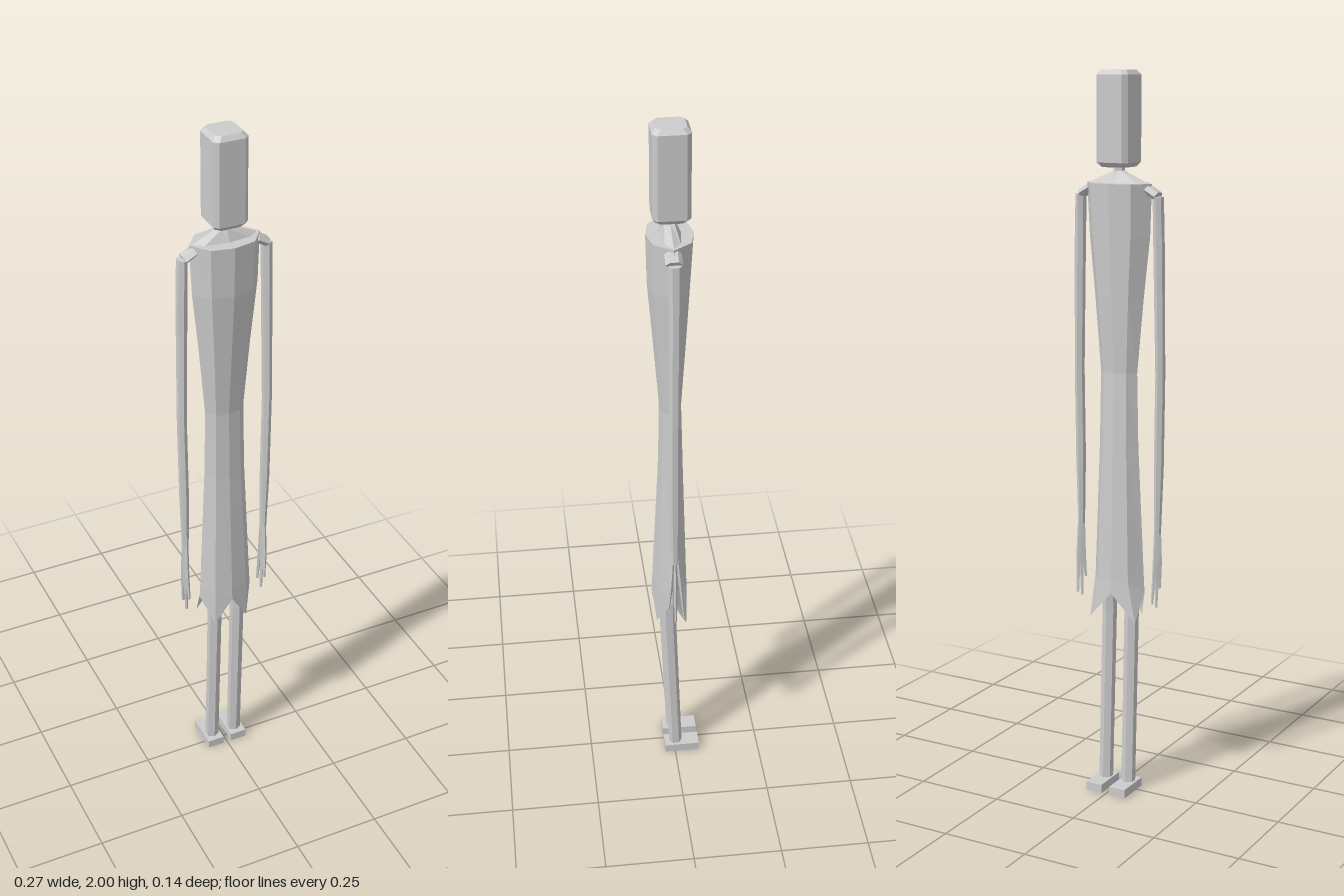
import * as THREE from 'three';

const stone = new THREE.MeshStandardMaterial({ color: 0xcccccc, flatShading: true, side: THREE.DoubleSide });
stone.name = 'pale grey';

// Skin through rings listed from top to bottom; each ring is an array of [x, y, z].
function skin(rings, capTop = true, capBottom = true) {
  const v = [];
  const n = rings[0].length;
  for (let r = 0; r < rings.length - 1; r++) {
    for (let i = 0; i < n; i++) {
      const j = (i + 1) % n;
      const a = rings[r][i], b = rings[r + 1][i], c = rings[r + 1][j], d = rings[r][j];
      v.push(...a, ...b, ...c, ...a, ...c, ...d);
    }
  }
  const top = rings[0], low = rings[rings.length - 1];
  for (let i = 1; i < n - 1; i++) {
    if (capTop) v.push(...top[0], ...top[i], ...top[i + 1]);
    if (capBottom) v.push(...low[0], ...low[i + 1], ...low[i]);
  }
  const g = new THREE.BufferGeometry();
  g.setAttribute('position', new THREE.Float32BufferAttribute(v, 3));
  g.computeVertexNormals();
  return g;
}

// Elliptical ring with n sides
function ring(x, y, z, rx, rz, n = 6, turn = 0) {
  return Array.from({ length: n }, (_, i) => {
    const a = turn + (i / n) * Math.PI * 2;
    return [x + rx * Math.sin(a), y, z + rz * Math.cos(a)];
  });
}

// Eight-sided body ring from half width, front z and back z
function bodyRing(y, w, front, back) {
  const mid = (front + back) / 2, f = front - mid;
  return [[0, 1], [0.62, 0.8], [1, 0], [0.62, -0.8], [0, -1], [-0.62, -0.8], [-1, 0], [-0.62, 0.8]]
    .map(([x, z]) => [x * w, y, mid + z * f]);
}

// Box with chamfered edges, as four octagonal rings
function chamferBox(w, y0, y1, z0, z1, c) {
  const oct = (y, k) => {
    const x = w - k, a = z0 + k, b = z1 - k;
    return [[x - c, b], [x, b - c], [x, a + c], [x - c, a], [c - x, a], [-x, a + c], [-x, b - c], [c - x, b]]
      .map(([px, pz]) => [px, y, pz]);
  };
  return skin([oct(y1, c * 0.8), oct(y1 - c, 0), oct(y0 + c, 0), oct(y0, c * 0.8)]);
}

export function createModel() {
  const model = new THREE.Group();
  model.name = 'slenderFigure';
  const add = (name, geometry, parent = model) => {
    const m = new THREE.Mesh(geometry, stone);
    m.name = name;
    parent.add(m);
    return m;
  };

  // Head, neck and sloping shoulders
  add('head', chamferBox(0.047, 1.75, 2, -0.042, 0.055, 0.012));
  add('neck', skin([ring(0, 1.76, 0.008, 0.014, 0.014), ring(0, 1.72, 0.008, 0.016, 0.018)]));
  add('collar', skin([ring(0, 1.74, 0.008, 0.016, 0.015, 8), ring(0, 1.705, 0.008, 0.095, 0.03, 8),
    ring(0, 1.69, 0.008, 0.112, 0.022, 8)]));

  // Robe with a zigzag hem, open underneath
  const hem = bodyRing(0.585, 0.079, 0.062, -0.04);
  hem.forEach((p, i) => {
    if (i % 2) {
      p[1] = 0.505;
      if (i === 3 || i === 5) p[0] *= 1.45;
    }
  });
  add('robe', skin([
    bodyRing(1.708, 0.098, 0.07, -0.053),
    bodyRing(1.57, 0.092, 0.067, -0.045),
    bodyRing(1.4, 0.074, 0.053, -0.035),
    bodyRing(1.2, 0.056, 0.037, -0.022),
    bodyRing(1.0, 0.06, 0.042, -0.027),
    bodyRing(0.62, 0.077, 0.06, -0.038),
    hem,
  ], true, false));

  for (const s of [1, -1]) {
    const side = s > 0 ? 'left' : 'right';

    // Shoulder joint
    const joint = add(side + 'Shoulder', new THREE.CylinderGeometry(0.022, 0.022, 0.034, 6));
    joint.scale.x = 0.6;
    joint.rotation.z = s * 1.05;
    joint.position.set(s * 0.1, 1.685, 0.01);

    // Arm: upper arm, elbow, forearm, wrist
    const arm = new THREE.Group();
    arm.name = side + 'Arm';
    model.add(arm);
    const armRings = [[0.117, 1.675, 0.008, 0.014, 0.018], [0.12, 1.55, 0.008, 0.015, 0.016],
      [0.125, 1.2, 0.01, 0.013, 0.015], [0.122, 0.95, 0.01, 0.013, 0.015], [0.12, 0.76, 0.008, 0.009, 0.011]];
    add(side + 'Limb', skin(armRings.map(([x, y, z, rx, rz]) => ring(s * x, y, z, rx, rz))), arm);

    // Long fingers spreading front to back
    [[0.014, 0.026, 0.6], [0.008, 0.006, 0.55], [0.002, -0.018, 0.565]].forEach(([z0, z1, y], i) => {
      add(side + 'Finger' + (i + 1), skin([
        ring(s * 0.12, 0.79, z0, 0.007, 0.006, 4),
        ring(s * 0.121, 0.68, (z0 + z1) / 2, 0.007, 0.006, 4),
        ring(s * 0.118, y, z1, 0.004, 0.003, 4)]), arm);
    });

    // Leg and backward-pointing foot
    add(side + 'Leg', skin([
      ring(s * 0.033, 0.9, 0.01, 0.018, 0.02),
      ring(s * 0.035, 0.52, 0.017, 0.02, 0.021),
      ring(s * 0.036, 0.02, -0.003, 0.02, 0.019)]));
    add(side + 'Foot', new THREE.BoxGeometry(0.049, 0.025, 0.102)).position.set(s * 0.037, 0.0125, -0.021);
  }
  return model;
}
